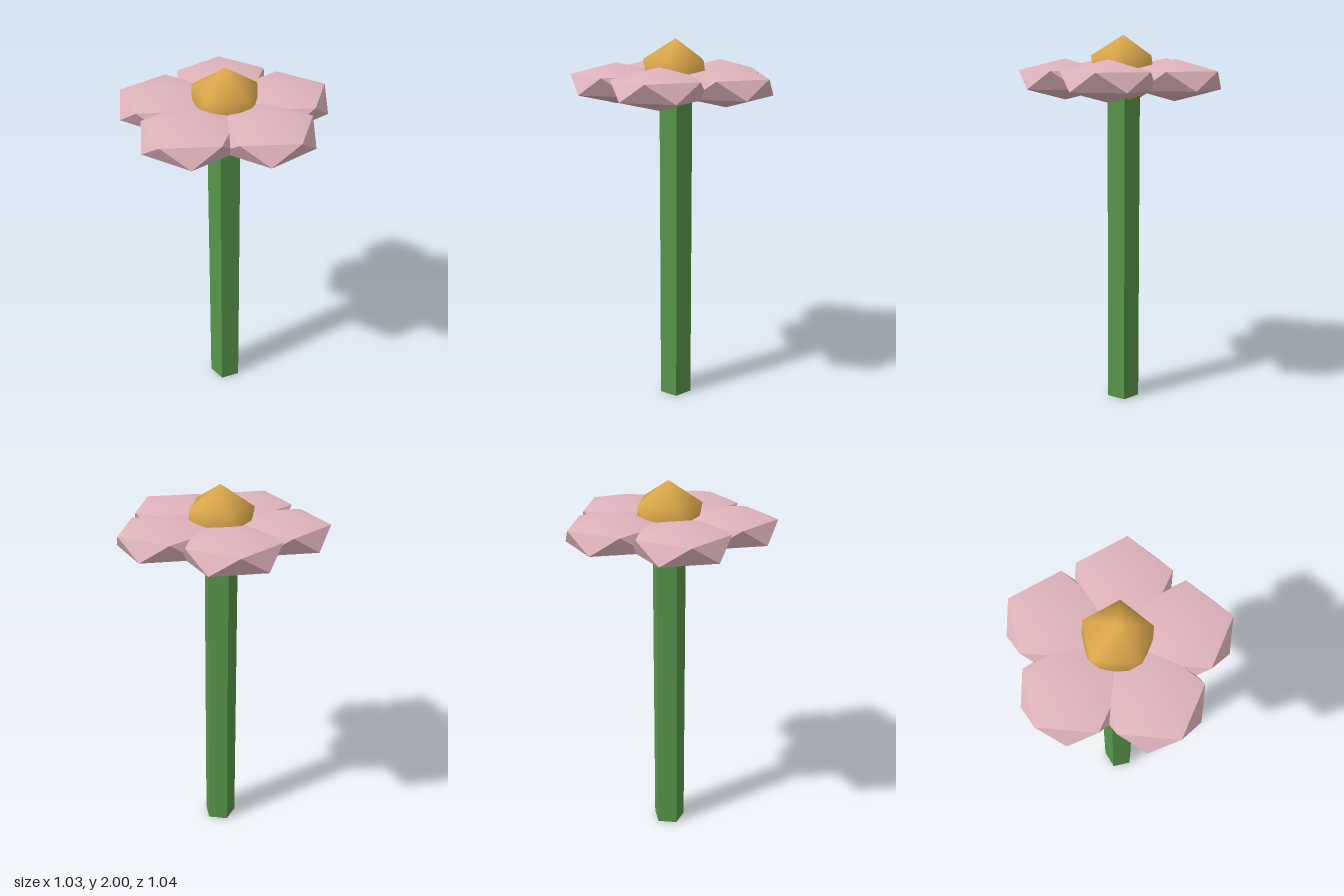
import * as THREE from 'three';
import { toCreasedNormals } from 'three/addons/utils/BufferGeometryUtils.js';

const CENTRE_X = -0.03; // axis of the stem and flower head

const material = (name, color) => {
  const m = new THREE.MeshStandardMaterial({ color });
  m.name = name;
  return m;
};

// Icosahedron standing on a vertex, squashed to the given radii
function blob(radius, halfHeight, crease) {
  const g = new THREE.IcosahedronGeometry(1, 0);
  g.rotateZ(-Math.atan(2 / (1 + Math.sqrt(5))));
  g.scale(radius, halfHeight, radius);
  return toCreasedNormals(g, crease);
}

export function createModel() {
  const green = material('stem green', 0x57964a);
  const pink = material('petal pink', 0xe0b4bc);
  const gold = material('centre gold', 0xe0ab4c);

  const flower = new THREE.Group();
  flower.name = 'flower';

  const add = (name, geometry, mat, x, y, z) => {
    const mesh = new THREE.Mesh(geometry, mat);
    mesh.name = name;
    mesh.position.set(x, y, z);
    flower.add(mesh);
  };

  // Five-sided stem with one corner at the back, ending inside the centre
  const stem = toCreasedNormals(
    new THREE.CylinderGeometry(0.09, 0.09, 1.8, 5, 1, false, Math.PI).toNonIndexed(), 0.5);
  add('stem', stem, green, CENTRE_X, 0.9, 0);

  // Rounded flower centre
  add('flowerCentre', blob(0.19, 0.19, Math.PI), gold, CENTRE_X, 1.81, 0);

  // Ring of five flattened petals: smooth caps, sharp rims
  const petal = blob(0.268, 0.106, 0.77);
  for (let i = 0; i < 5; i++) {
    const a = (i / 5) * Math.PI * 2;
    add('petal' + (i + 1), petal, pink,
      CENTRE_X + 0.307 * Math.cos(a), 1.773, 0.307 * Math.sin(a));
  }

  return flower;
}
